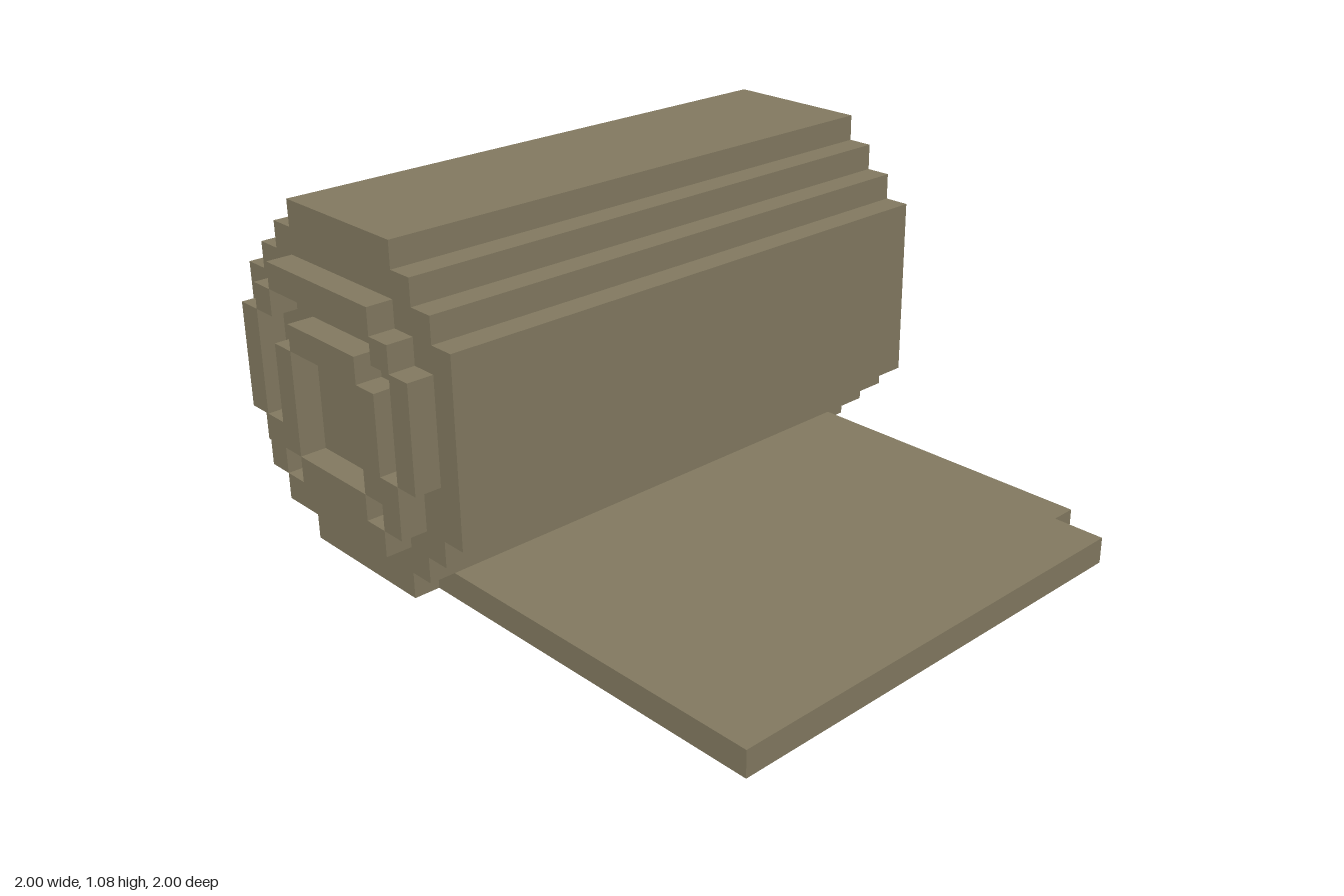
import * as THREE from 'three';

const U = 1 / 12; // one block unit

export function createModel() {
  const model = new THREE.Group();
  model.name = 'bedroll';
  const cloth = new THREE.MeshStandardMaterial({ color: 0x81785f });
  cloth.name = 'khaki cloth';

  // box from its limits, in block units
  const box = (name, x0, x1, y0, y1, z0, z1, parent) => {
    const geo = new THREE.BoxGeometry((x1 - x0) * U, (y1 - y0) * U, (z1 - z0) * U);
    geo.translate((x0 + x1) * U / 2, (y0 + y1) * U / 2, (z0 + z1) * U / 2);
    const mesh = new THREE.Mesh(geo, cloth);
    mesh.name = name;
    parent.add(mesh);
  };

  // flat extrusion from an outline, centred on its depth
  const extrude = (name, points, depth) => {
    const shape = new THREE.Shape(points.map(([a, b]) => new THREE.Vector2(a * U, b * U)));
    const geo = new THREE.ExtrudeGeometry(shape, { depth: depth * U, bevelEnabled: false });
    geo.translate(0, 0, -depth * U / 2);
    const mesh = new THREE.Mesh(geo, cloth);
    mesh.name = name;
    model.add(mesh);
    return mesh;
  };

  // rolled body: stepped round section (z, y), mirrored about z = -6
  const half = [[3, 0], [3, 1], [4, 1], [4, 2], [5, 2], [5, 3], [6, 3],
    [6, 10], [5, 10], [5, 11], [4, 11], [4, 12], [3, 12], [3, 13]];
  const section = [
    ...half.map(([z, y]) => [z - 6, y]),
    ...half.slice().reverse().map(([z, y]) => [-z - 6, y]),
  ];
  extrude('rolledBody', section, 22).geometry.rotateY(-Math.PI / 2);

  // unrolled flap with a notch at its front left corner
  const flap = extrude('flap', [[-10, 3], [-10, -12], [8, -12], [8, -10], [9, -10], [9, 3]], 1);
  flap.geometry.rotateX(-Math.PI / 2).translate(0, U / 2, 0);

  // raised windings on both ends
  for (const side of [1, -1]) {
    const end = new THREE.Group();
    end.name = side > 0 ? 'leftEndWindings' : 'rightEndWindings';
    model.add(end);
    const [x0, x1] = side > 0 ? [11, 12] : [-12, -11];
    const bar = (name, y0, y1, z0, z1) => box(name, x0, x1, y0, y1, z0, z1, end);
    bar('outerTop', 10, 11, -9, -3);
    bar('outerBottom', 2, 3, -9, -3);
    bar('innerTop', 8, 9, -8, -4);
    bar('innerBottom', 3, 4, -8, -4);
    // front and back bars, mirrored about z = -6
    for (const s of [1, -1]) {
      const pair = (name, y0, y1, a, b) =>
        bar(name, y0, y1, -6 + Math.min(s * a, s * b), -6 + Math.max(s * a, s * b));
      pair('outerSide', 5, 9, 4, 5);
      pair('outerUpperCorner', 9, 10, 3, 4);
      pair('outerLowerCorner', 3, 5, 3, 4);
      pair('innerSide', 4, 8, 2, 3);
    }
  }
  return model;
}
